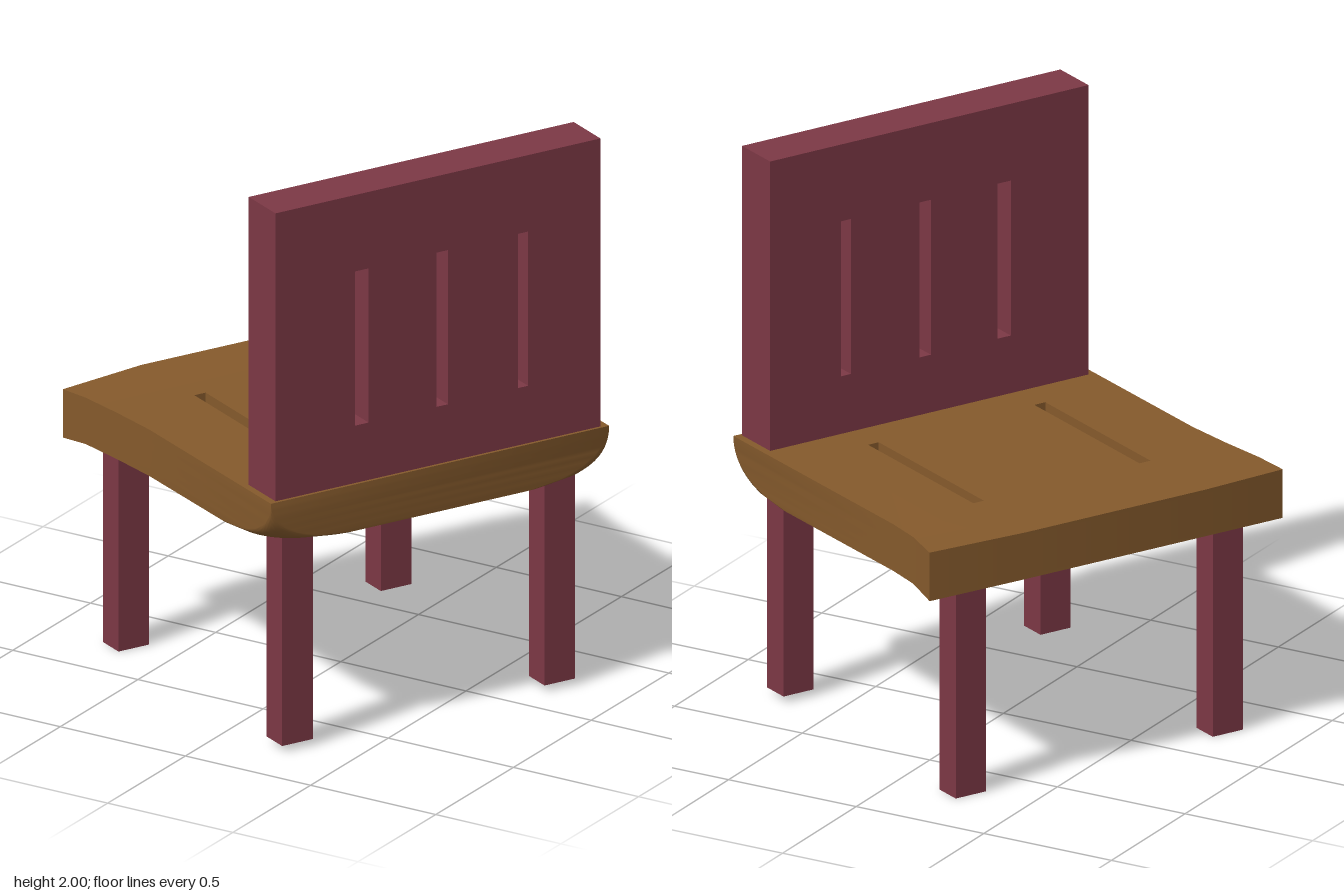
import * as THREE from 'three';
import { toCreasedNormals } from 'three/addons/utils/BufferGeometryUtils.js';

const wood = new THREE.MeshStandardMaterial({ color: 0x855a2c });
const red = new THREE.MeshStandardMaterial({ color: 0x7c3845 });

function rectHole(x0, x1, y0, y1) {
  const h = new THREE.Path();
  h.moveTo(x0, y0).lineTo(x0, y1).lineTo(x1, y1).lineTo(x1, y0).closePath();
  return h;
}

// Slab with flared front corners; its back corners are sharp on top and round below
function seatGeometry() {
  const W = 0.673, B = 0.645, R = 0.33, H = 0.17, TOP = 0.945;
  const s = new THREE.Shape();
  s.moveTo(-0.726, -0.621);
  for (const [x, z] of [[-0.395, -0.652], [0.334, -0.649], [0.701, -0.61], [0.679, -0.475], [0.67, -0.337], [W, B - R]]) s.lineTo(x, z);
  s.absarc(W - R, B - R, R, 0, Math.PI / 2);
  s.absarc(R - W, B - R, R, Math.PI / 2, Math.PI);
  for (const [x, z] of [[-0.676, -0.142], [-0.69, -0.325], [-0.71, -0.5]]) s.lineTo(x, z);
  s.closePath();
  s.holes.push(rectHole(0.293, 0.336, -0.325, 0.325), rectHole(-0.384, -0.339, -0.325, 0.325));

  const g = new THREE.ExtrudeGeometry(s, { depth: H, steps: 12, curveSegments: 14, bevelEnabled: false });
  g.rotateX(Math.PI / 2);
  const p = g.attributes.position;
  for (let i = 0; i < p.count; i++) {
    let x = p.getX(i), y = p.getY(i), z = p.getZ(i);
    const t = Math.min(1, Math.max(0, -y / H));
    const dx = Math.abs(x) - (W - R), dz = z - (B - R);
    // shrink the corner rounding to nothing towards the top
    if (dx > -1e-4 && dz > -1e-4 && Math.hypot(dx, dz) > R * 0.99) {
      const k = 1 - Math.sqrt(1 - t * t), cx = Math.sign(x) * W;
      x = cx + (x - cx) * k;
      z = B + (z - B) * k;
    }
    // front corners droop slightly
    if (z < -0.55 && Math.abs(x) > 0.6) y -= 0.008 + 0.007 * t;
    p.setXYZ(i, x, y + TOP, z);
  }
  return toCreasedNormals(g, 0.6);
}

function backrestGeometry() {
  const s = new THREE.Shape();
  s.moveTo(-0.648, 0.935).lineTo(0.645, 0.935).lineTo(0.645, 2).lineTo(-0.648, 2).closePath();
  for (const [x, w] of [[-0.305, 0.055], [0.015, 0.046], [0.337, 0.04]])
    s.holes.push(rectHole(x - w / 2, x + w / 2, 1.155, 1.72));
  const g = new THREE.ExtrudeGeometry(s, { depth: 0.174, bevelEnabled: false });
  return g.translate(0, 0, 0.46);
}

export function createModel() {
  const model = new THREE.Group();
  model.name = 'chair';
  const chair = new THREE.Group();
  chair.name = 'turnedChair';
  chair.rotation.y = 1.105;
  model.add(chair);

  const add = (name, geometry, material) => {
    const m = new THREE.Mesh(geometry, material);
    m.name = name;
    chair.add(m);
    return m;
  };

  add('seat', seatGeometry(), wood);
  add('backrest', backrestGeometry(), red);

  // Legs: the back pair is slightly shorter
  for (const [name, z, y0, y1] of [['frontLeg', -0.522, 0, 0.785], ['backLeg', 0.542, 0.023, 0.79]])
    for (const x of [-0.535, 0.509])
      add(name, new THREE.BoxGeometry(0.122, y1 - y0, 0.101), red).position.set(x, (y0 + y1) / 2, z);

  return model;
}
